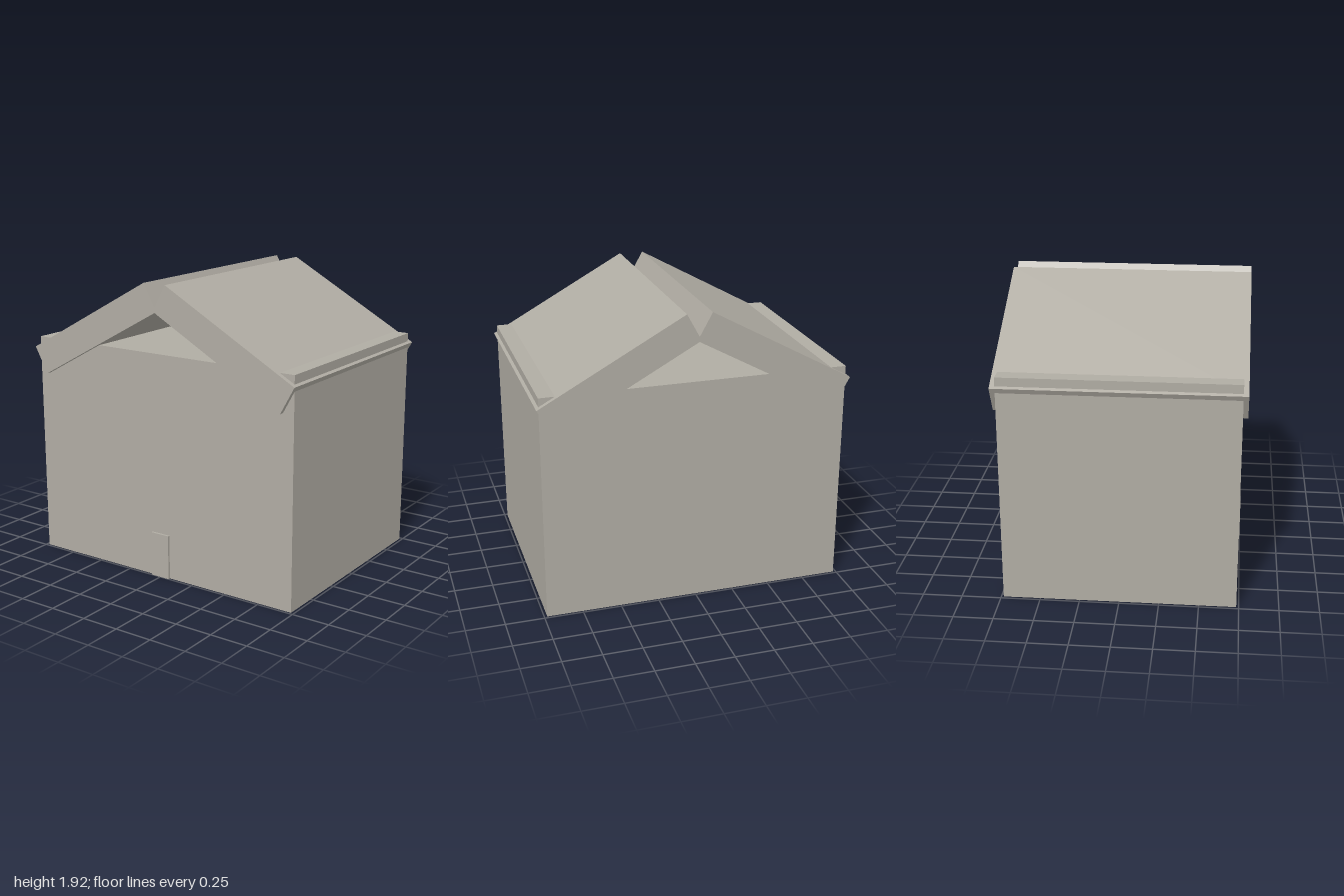
import * as THREE from 'three';

export function createModel() {
  const model = new THREE.Group();
  model.name = 'house';
  const plaster = new THREE.MeshStandardMaterial({ color: 0xb0aca3 });
  plaster.name = 'warm grey';

  const addBox = (name, size, position) => {
    const mesh = new THREE.Mesh(new THREE.BoxGeometry(...size), plaster);
    mesh.name = name;
    mesh.position.set(...position);
    model.add(mesh);
    return mesh;
  };

  // Flat-topped body and the small raised door
  addBox('walls', [1.963, 1.475, 1.47], [0, 0.7375, 0]);
  addBox('door', [0.134, 0.295, 0.03], [0, 0.1475, 0.735]);

  // Two thick roof slabs that meet in a notch at the ridge
  const pitch = 0.503;
  for (const side of [-1, 1]) {
    const slab = addBox(side > 0 ? 'leftRoof' : 'rightRoof', [1.049, 0.195, 1.534], [side * 0.493, 1.577, 0]);
    slab.rotation.z = -side * pitch;
  }
  return model;
}
